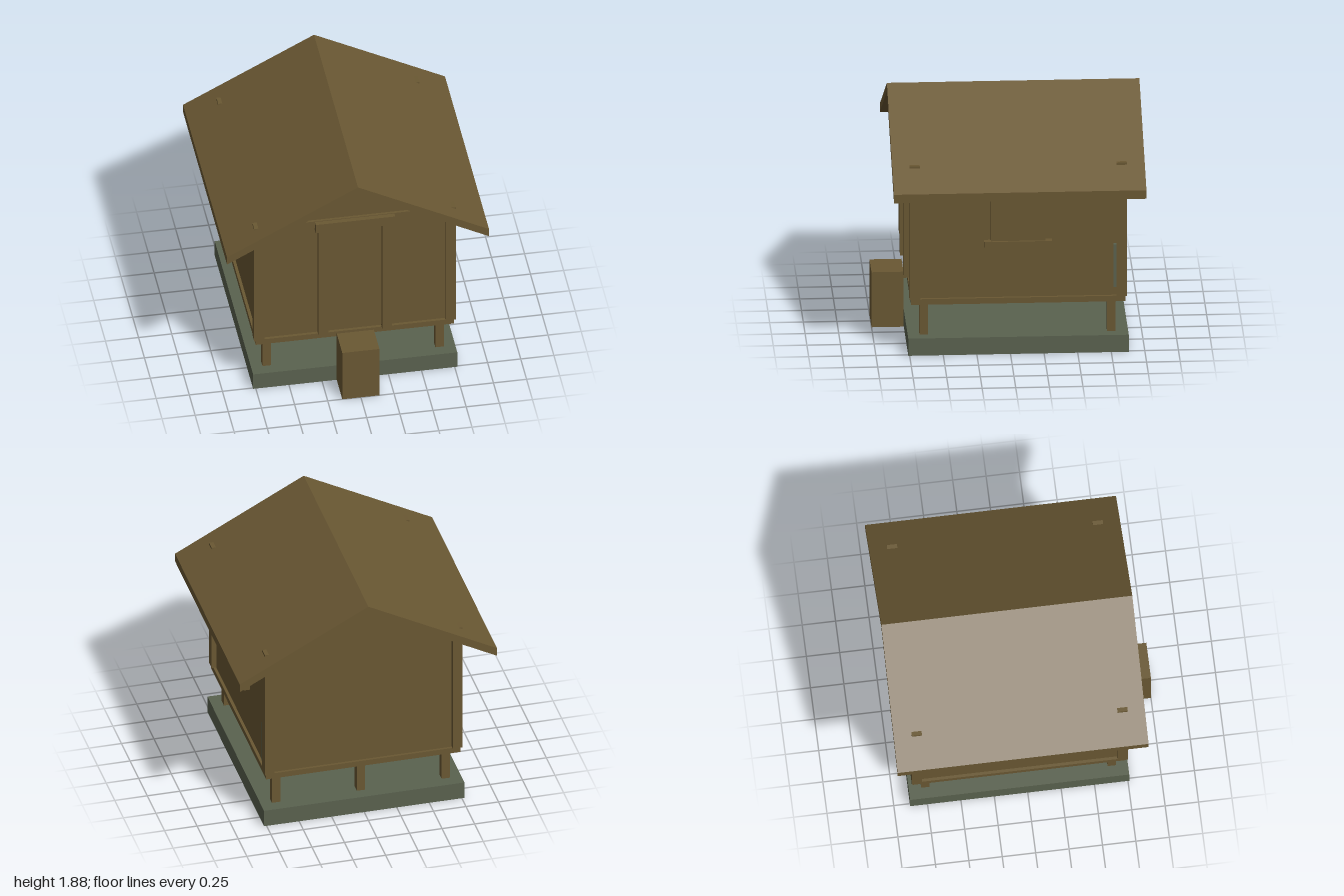
import * as THREE from 'three';

export function createModel() {
  const model = new THREE.Group();
  model.name = 'raisedHut';
  const wood = new THREE.MeshStandardMaterial({ name: 'wood', color: 0x6a5833, side: THREE.DoubleSide });
  const stone = new THREE.MeshStandardMaterial({ name: 'stone', color: 0x5a624f, side: THREE.DoubleSide });

  // Box given by its limits on each axis; boxes that stand on the ground are open below
  function box(name, x0, x1, y0, y1, z0, z1, material = wood) {
    const geometry = new THREE.BoxGeometry(x1 - x0, y1 - y0, z1 - z0);
    if (y0 === 0) {
      const index = Array.from(geometry.index.array);
      index.splice(18, 6);
      geometry.setIndex(index);
      geometry.clearGroups();
    }
    const mesh = new THREE.Mesh(geometry, material);
    mesh.position.set((x0 + x1) / 2, (y0 + y1) / 2, (z0 + z1) / 2);
    mesh.name = name;
    model.add(mesh);
  }

  // Outline in x and y, extruded from z0 to z1
  function prism(name, points, z0, z1) {
    const shape = new THREE.Shape(points.map(([x, y]) => new THREE.Vector2(x, y)));
    const geometry = new THREE.ExtrudeGeometry(shape, { depth: z1 - z0, bevelEnabled: false });
    geometry.translate(0, 0, z0);
    const mesh = new THREE.Mesh(geometry, wood);
    mesh.name = name;
    model.add(mesh);
  }

  // Foundation, stilts, floor and step
  box('foundation', -0.77, 0.77, 0, 0.135, -0.88, 0.76, stone);
  for (const x of [-0.652, 0, 0.652]) {
    for (const z of [-0.755, 0.64]) {
      box('stilt', x - 0.032, x + 0.032, 0, 0.395, z - 0.032, z + 0.032);
    }
  }
  box('floor', -0.747, 0.747, 0.393, 0.437, -0.855, 0.738);
  box('step', -0.14, 0.14, 0, 0.435, 0.762, 1);

  // Walls with gables, and the gable roof
  prism('walls', [[-0.725, 0.437], [0.725, 0.437], [0.725, 1.43], [0, 1.816], [-0.725, 1.43]], -0.835, 0.715);
  prism('roof', [[-0.988, 1.288], [0, 1.815], [0.988, 1.288], [0.988, 1.355], [0, 1.88], [-0.988, 1.355]], -1, 0.878);

  // Corner posts, reaching just through the roof
  for (const side of [-1, 1]) {
    for (const z of [-0.828, 0.712]) {
      const x = side * 0.722;
      box('cornerPost', x - 0.038, x + 0.038, 0.437, 1.493, z - 0.038, z + 0.038);
    }
  }

  // Front beam, door and door frame
  box('frontBeam', -0.7, 0.7, 1.427, 1.49, 0.67, 0.735);
  box('door', -0.205, 0.205, 0.455, 1.403, 0.7, 0.73);
  for (const side of [-1, 1]) {
    const x = side * 0.24;
    box('doorJamb', x - 0.037, x + 0.037, 0.437, 1.41, 0.7, 0.768);
  }
  box('doorLintel', -0.3, 0.3, 1.41, 1.485, 0.7, 0.772);

  // Side windows: shutter, sill and lintel
  for (const side of [-1, 1]) {
    const span = (a, b) => (side > 0 ? [a, b] : [-b, -a]);
    box('windowShutter', ...span(0.7, 0.759), 0.89, 1.345, -0.26, 0.145);
    box('windowSill', ...span(0.7, 0.776), 0.845, 0.89, -0.31, 0.195);
    box('windowLintel', ...span(0.7, 0.768), 1.34, 1.393, -0.31, 0.195);
  }

  // Small plate beside the left rear post
  box('sidePlate', 0.724, 0.758, 0.51, 0.845, -0.79, -0.768, stone);

  return model;
}
